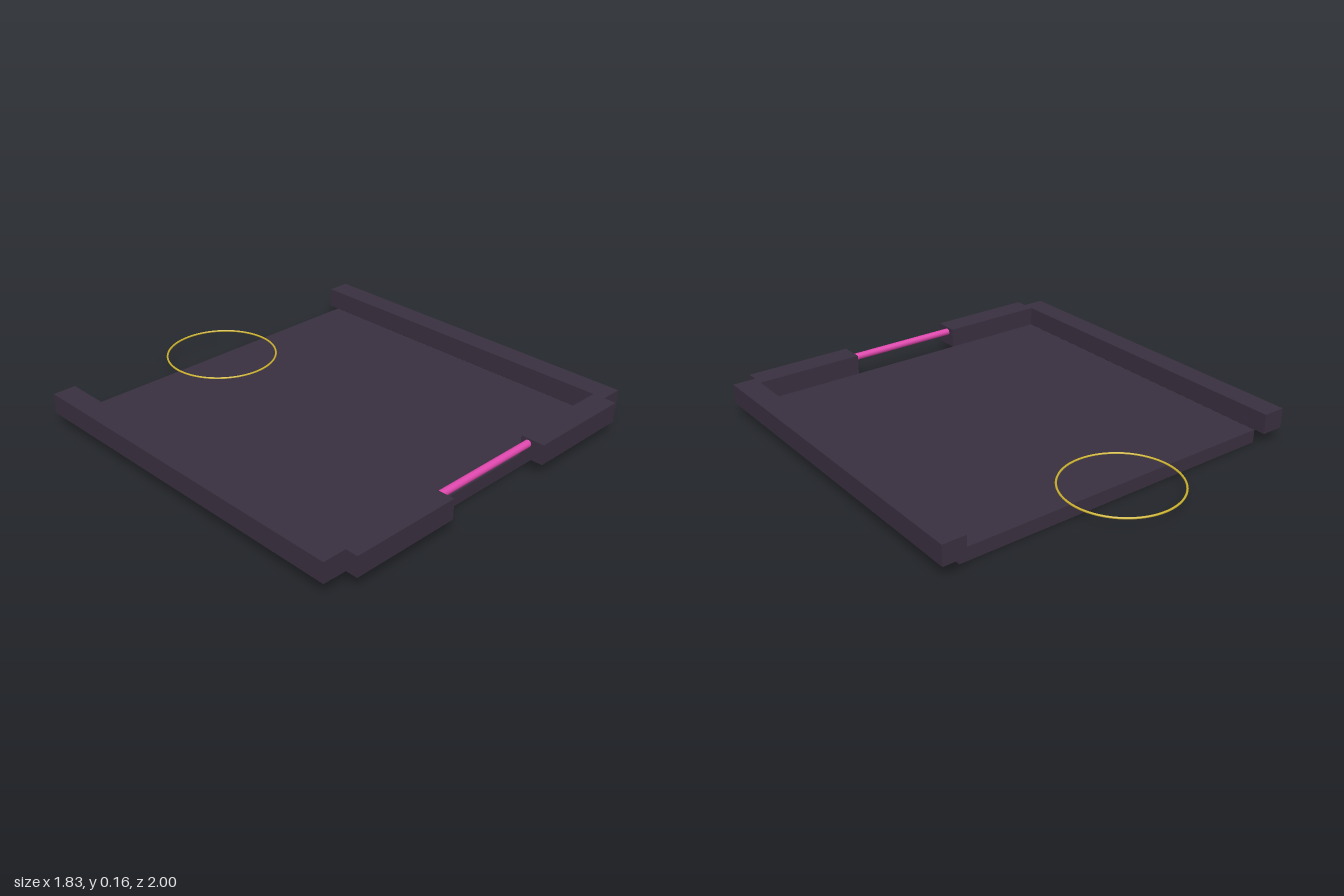
import * as THREE from 'three';

export function createModel() {
  const model = new THREE.Group();
  const dark = new THREE.MeshStandardMaterial({ color: 0x3a3040 });
  dark.name = 'darkPlum';
  const pink = new THREE.MeshStandardMaterial({ color: 0xe048ae });
  pink.name = 'neonPink';
  const gold = new THREE.MeshStandardMaterial({ color: 0xcdb32e });
  gold.name = 'gold';

  const add = (name, geometry, material) => {
    const mesh = new THREE.Mesh(geometry, material);
    mesh.name = name;
    model.add(mesh);
    return mesh;
  };
  // Box given by its lower and upper limits on each axis
  const block = (name, [x0, x1], [y0, y1], [z0, z1]) =>
    add(name, new THREE.BoxGeometry(x1 - x0, y1 - y0, z1 - z0), dark)
      .position.set((x0 + x1) / 2, (y0 + y1) / 2, (z0 + z1) / 2);

  const floorTop = 0.063, wallTop = 0.158;
  block('floorSlab', [-0.805, 0.805], [0, floorTop], [-0.725, 0.885]);

  // Mirrored side walls and front wall halves, leaving a doorway between
  for (const [side, s] of [['left', 1], ['right', -1]]) {
    const span = (a, b) => (s > 0 ? [a, b] : [-b, -a]);
    block(side + 'Wall', span(0.806, 0.916), [floorTop, wallTop], [-0.78, 0.942]);
    block(side + 'FrontWall', span(0.283, 0.806), [floorTop, wallTop], [0.885, 1]);
  }

  // Glowing bar across the doorway
  const bar = add('doorwayBar', new THREE.CylinderGeometry(0.017, 0.017, 0.556, 16), pink);
  bar.rotation.z = Math.PI / 2;
  bar.position.set(0, 0.137, 0.924);

  // Thin ring lying over the open back edge
  const ring = add('floorRing', new THREE.TorusGeometry(0.267, 0.005, 8, 64), gold);
  ring.rotation.x = -Math.PI / 2;
  ring.position.set(0, 0.065, -0.728);

  return model;
}
